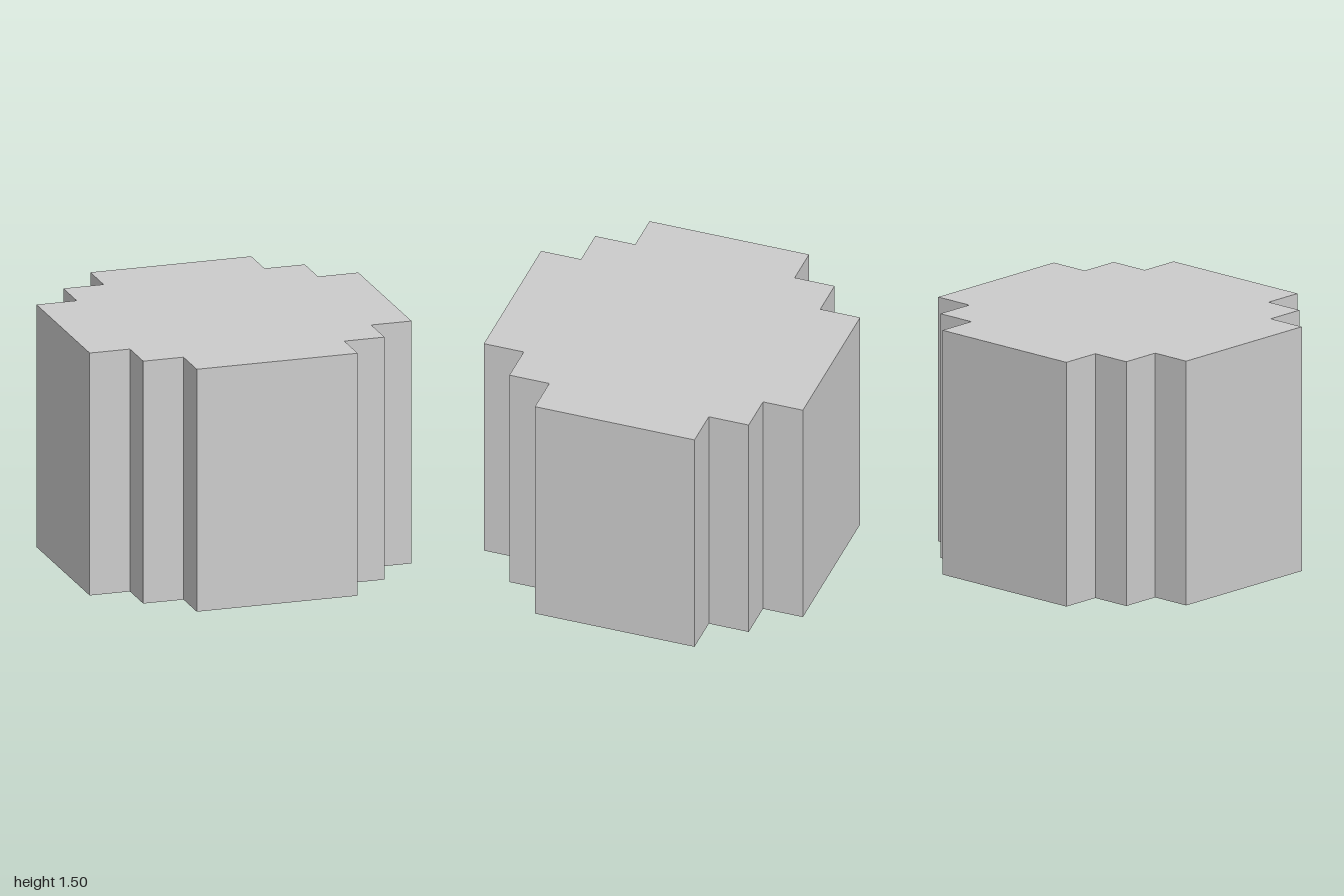
import * as THREE from 'three';

const HEIGHT = 1.5;

export function createModel() {
  const group = new THREE.Group();
  group.name = 'steppedBlock';

  // One stepped corner of the plan, turned through four quarters
  const corner = [[1, 0.5], [0.75, 0.5], [0.75, 0.75], [0.5, 0.75], [0.5, 1]];
  const outline = [];
  let points = [[1, -0.5], ...corner].slice(1);
  for (let quarter = 0; quarter < 4; quarter++) {
    for (const [x, y] of points) outline.push(new THREE.Vector2(x, y));
    points = points.map(([x, y]) => [-y, x]);
  }

  // Extrude the plan upward from the ground
  const geometry = new THREE.ExtrudeGeometry(new THREE.Shape(outline), {
    depth: HEIGHT,
    bevelEnabled: false,
  });
  geometry.rotateX(-Math.PI / 2);

  const column = new THREE.Mesh(
    geometry,
    new THREE.MeshStandardMaterial({ color: 0xcccccc, flatShading: true })
  );
  column.name = 'steppedColumn';
  group.add(column);
  return group;
}
